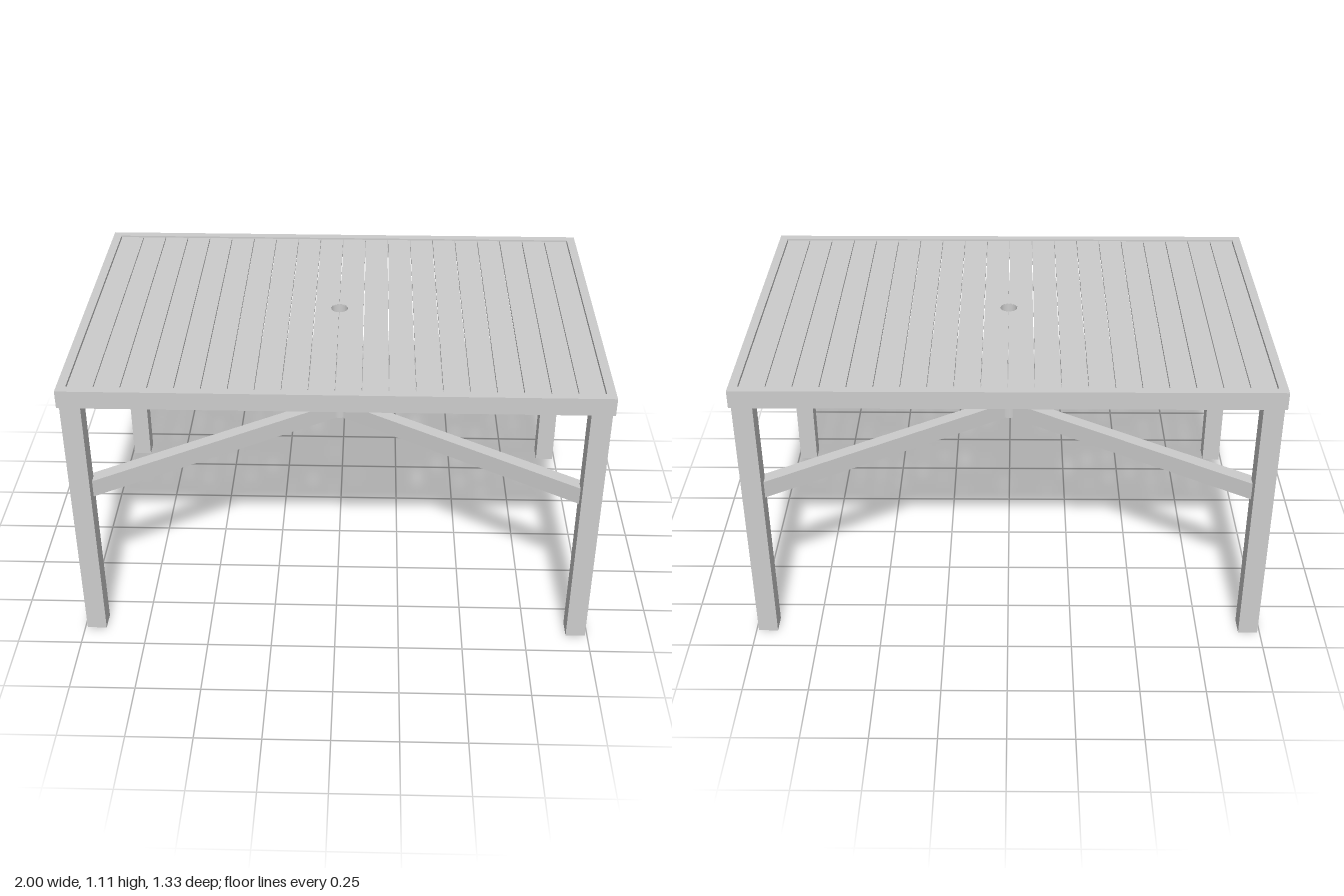
import * as THREE from 'three';

const metal = new THREE.MeshStandardMaterial({ color: 0xcccccc });
metal.name = 'light grey metal';

function add(parent, name, geometry, x = 0, y = 0, z = 0) {
  const mesh = new THREE.Mesh(geometry, metal);
  mesh.name = name;
  mesh.position.set(x, y, z);
  parent.add(mesh);
  return mesh;
}

const box = (w, h, d) => new THREE.BoxGeometry(w, h, d);

function rectangle(w, d, Type = THREE.Shape) {
  const s = new Type();
  s.moveTo(-w / 2, -d / 2);
  s.lineTo(w / 2, -d / 2);
  s.lineTo(w / 2, d / 2);
  s.lineTo(-w / 2, d / 2);
  s.closePath();
  return s;
}

// Extrudes a plan outline upwards from y = 0
function raise(shape, height) {
  const g = new THREE.ExtrudeGeometry(shape, { depth: height, bevelEnabled: false, curveSegments: 24 });
  return g.rotateX(-Math.PI / 2);
}

function hollowBox(w, d, h, wall) {
  const s = rectangle(w, d);
  s.holes.push(rectangle(w - 2 * wall, d - 2 * wall, THREE.Path));
  return raise(s, h);
}

function ring(outer, inner, h) {
  const s = new THREE.Shape().absarc(0, 0, outer, 0, Math.PI * 2);
  s.holes.push(new THREE.Path().absarc(0, 0, inner, 0, Math.PI * 2, true));
  return raise(s, h);
}

export function createModel() {
  const table = new THREE.Group();
  table.name = 'table';

  // Rim around the top
  add(table, 'topFrame', hollowBox(2, 1.333, 0.07, 0.034), 0, 1.04, 0);

  // Slats, the middle two notched for the parasol hole
  const slats = new THREE.Group();
  slats.name = 'slats';
  table.add(slats);
  const count = 20, pitch = 1.93 / count, gap = 0.003, hole = 0.034, half = 0.631;
  for (let i = 0; i < count; i++) {
    const x = (i - (count - 1) / 2) * pitch;
    if (Math.abs(x) > pitch) {
      add(slats, 'slat', box(pitch - gap, 0.012, half * 2), x, 1.098, 0);
      continue;
    }
    const s = new THREE.Shape();
    s.moveTo(gap / 2, -half);
    s.lineTo(pitch - gap / 2, -half);
    s.lineTo(pitch - gap / 2, half);
    s.lineTo(gap / 2, half);
    s.lineTo(gap / 2, hole);
    s.absarc(0, 0, hole, Math.PI / 2 - 0.045, -Math.PI / 2 + 0.045, true);
    s.closePath();
    const slat = add(slats, 'notchedSlat', raise(s, 0.012), 0, 1.092, 0);
    if (x < 0) slat.rotation.y = Math.PI;
  }

  // Support rails under the slats
  for (const z of [-0.56, -0.25, 0.25, 0.56]) {
    add(table, 'supportRail', box(1.92, 0.03, 0.03), 0, 1.077, z);
  }

  // Parasol socket and the short rails that hold it
  add(table, 'parasolSocket', ring(0.036, 0.033, 0.09), 0, 1.013, 0);
  for (const side of [-1, 1]) {
    add(table, 'socketRail', box(0.025, 0.025, 0.205), 0, 1.078, side * 0.1375);
  }

  // Hollow legs and the diagonal braces running to the central hub
  const angle = Math.atan2(0.585, 0.915), start = 0.036, end = 1.105;
  for (const sx of [-1, 1]) {
    for (const sz of [-1, 1]) {
      add(table, 'leg', hollowBox(0.076, 0.076, 1.06, 0.004), sx * 0.953, 0, sz * 0.622);
      const mid = (start + end) / 2;
      const brace = add(table, 'brace', box(end - start, 0.07, 0.05),
        sx * Math.cos(angle) * mid, 0.649, sz * Math.sin(angle) * mid);
      brace.rotation.y = -sx * sz * angle;
    }
  }
  add(table, 'braceHub', ring(0.04, 0.034, 0.07), 0, 0.614, 0);

  return table;
}
